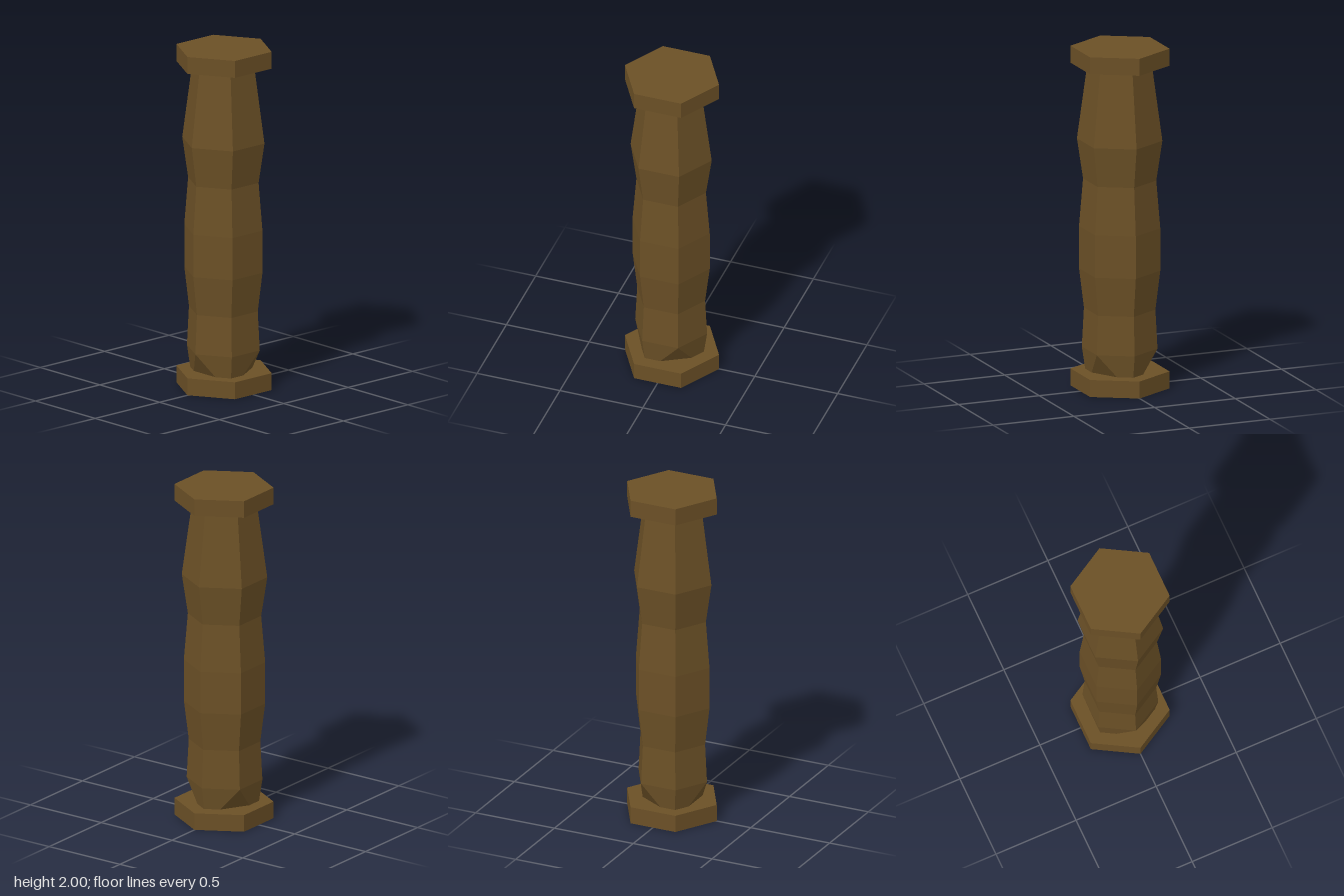
import * as THREE from 'three';

const SIDES = 6;
const SHAFT_X = -0.005;

// Shaft rings as [height, radius], bottom to top
const RINGS = [
  [0.23, 0.217], [0.46, 0.205], [0.69, 0.233], [0.94, 0.233],
  [1.22, 0.21], [1.455, 0.245], [1.98, 0.174],
];

function ring(y, radius, sides) {
  return Array.from({ length: sides }, (_, i) => {
    const a = (i / sides) * Math.PI * 2;
    return new THREE.Vector3(SHAFT_X + Math.cos(a) * radius, y, Math.sin(a) * radius);
  });
}

// Uneven hexagonal shaft whose foot is cut down to a triangle
function shaftGeometry() {
  const points = [];
  const rings = RINGS.map(([y, r]) => ring(y, r, SIDES));
  for (let j = 0; j < rings.length - 1; j++) {
    const low = rings[j], high = rings[j + 1];
    for (let i = 0; i < SIDES; i++) {
      const n = (i + 1) % SIDES;
      points.push(low[n], low[i], high[i], low[n], high[i], high[n]);
    }
  }

  // Foot: every other shaft edge runs to a corner, the rest end in a chamfer
  const foot = ring(0.002, 0.183, 3), first = rings[0];
  for (let k = 0; k < 3; k++) {
    const here = foot[k], next = foot[(k + 1) % 3];
    const a = first[2 * k], b = first[2 * k + 1], c = first[(2 * k + 2) % SIDES];
    points.push(here, a, b, next, here, b, next, b, c);
  }

  const geometry = new THREE.BufferGeometry().setFromPoints(points);
  geometry.computeVertexNormals();
  return geometry;
}

export function createModel() {
  const model = new THREE.Group();
  model.name = 'column';
  const wood = new THREE.MeshStandardMaterial({ color: 0x6b5026, flatShading: true });

  const shaft = new THREE.Mesh(shaftGeometry(), wood);
  shaft.name = 'shaft';
  model.add(shaft);

  // Matching hexagonal plates at both ends
  const plate = new THREE.CylinderGeometry(0.284, 0.284, 0.1, SIDES, 1, false, Math.PI / 2);
  for (const [name, y] of [['basePlate', 0.05], ['topPlate', 1.95]]) {
    const mesh = new THREE.Mesh(plate, wood);
    mesh.name = name;
    mesh.position.y = y;
    model.add(mesh);
  }
  return model;
}
